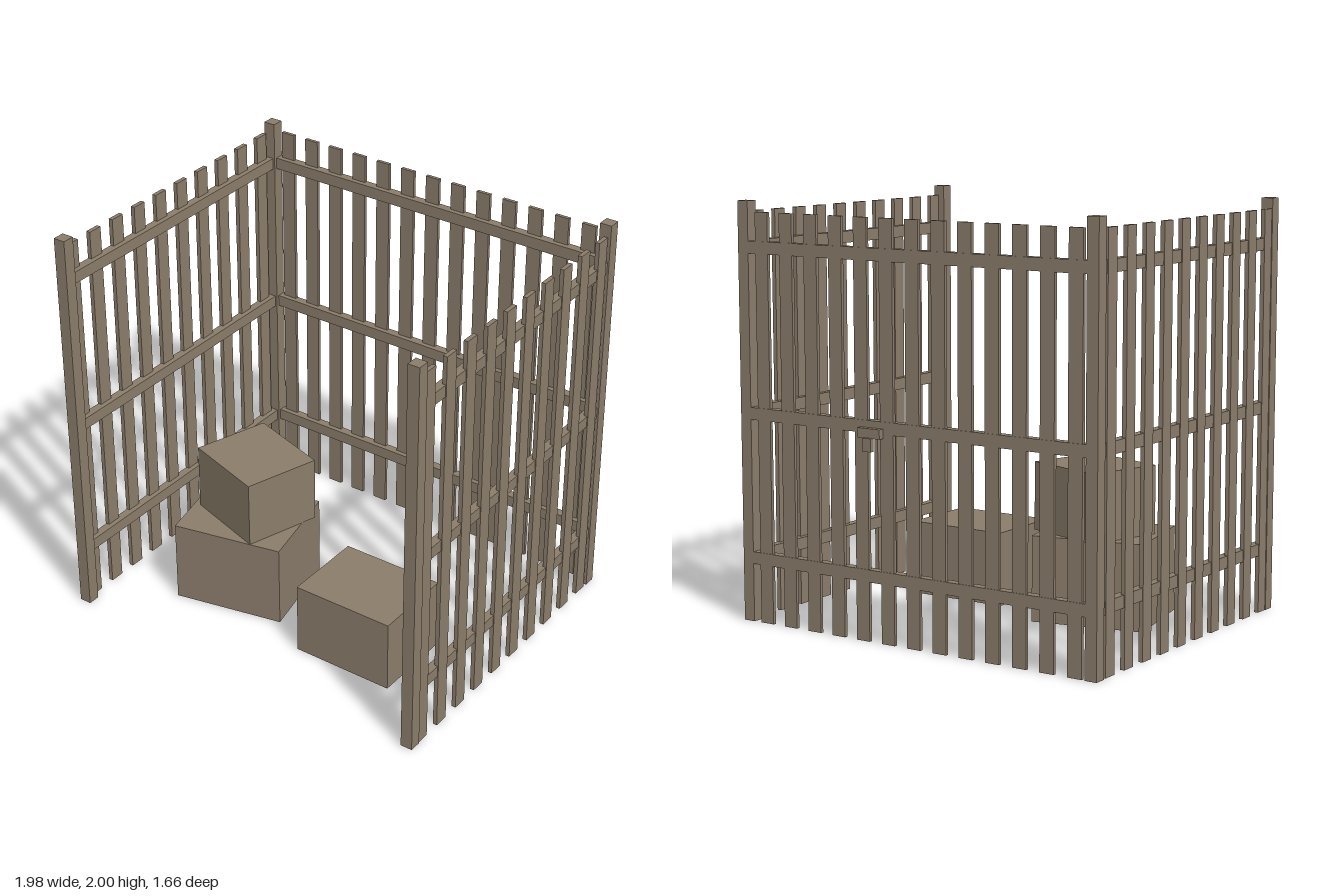
import * as THREE from 'three';

export function createModel() {
  const model = new THREE.Group();
  const wood = new THREE.MeshStandardMaterial({ color: 0x8b7d6b });
  wood.name = 'weathered wood';

  // Box given by its extents on each axis
  function box(parent, name, [x0, x1], [y0, y1], [z0, z1]) {
    const mesh = new THREE.Mesh(new THREE.BoxGeometry(x1 - x0, y1 - y0, z1 - z0), wood);
    mesh.name = name;
    mesh.position.set((x0 + x1) / 2, (y0 + y1) / 2, (z0 + z1) / 2);
    parent.add(mesh);
    return mesh;
  }
  function group(name) {
    const g = new THREE.Group();
    g.name = name;
    model.add(g);
    return g;
  }
  const mirror = ([a, b], side) => (side > 0 ? [a, b] : [-b, -a]);

  const railHeights = [0.31, 1.003, 1.785];
  const railY = (y) => [y - 0.029, y + 0.029];
  const slatY = [0, 1.95];
  const half = 0.037;

  // Corner posts
  const posts = group('cornerPosts');
  for (const side of [-1, 1]) {
    const x = mirror([0.928, 0.988], side);
    box(posts, 'backPost', x, [0, 2], [-0.79, -0.73]);
    box(posts, 'frontPost', x, [0, 2], [0.77, 0.83]);
  }

  // Back wall
  const back = group('backWall');
  for (let i = 0; i < 13; i++) {
    const x = -0.873 + i * 0.1436;
    box(back, 'backSlat', [x - half, x + half], slatY, [-0.787, -0.77]);
  }
  for (const y of railHeights) box(back, 'backRail', [-0.93, 0.93], railY(y), [-0.79, -0.745]);

  // Side walls
  for (const side of [-1, 1]) {
    const wall = group(side > 0 ? 'leftWall' : 'rightWall');
    for (let i = 0; i < 10; i++) {
      const z = -0.672 + i * 0.1567;
      box(wall, 'sideSlat', mirror([0.963, 0.984], side), slatY, [z - half, z + half]);
    }
    for (const y of railHeights) {
      box(wall, 'sideRail', mirror([0.938, 0.98], side), railY(y), [-0.735, 0.775]);
    }
  }

  // Latch on the outside of the back wall
  const latch = group('latch');
  box(latch, 'latchPlate', [0.15, 0.275], [0.955, 1.0], [-0.818, -0.789]);
  box(latch, 'latchLock', [0.19, 0.238], [0.895, 0.957], [-0.832, -0.81]);

  // Crates: two stacked at odd angles, one on its own
  const crates = group('crates');
  function crate(name, w, h, d, x, y, z, turn) {
    const mesh = box(crates, name, [x - w / 2, x + w / 2], [y, y + h], [z - d / 2, z + d / 2]);
    mesh.rotation.y = turn;
  }
  crate('lowerCrate', 0.557, 0.418, 0.476, -0.393, 0, 0.235, 0.21);
  crate('upperCrate', 0.43, 0.332, 0.388, -0.367, 0.418, 0.19, -0.31);
  crate('singleCrate', 0.522, 0.365, 0.417, 0.387, 0, 0.322, 0);

  return model;
}
